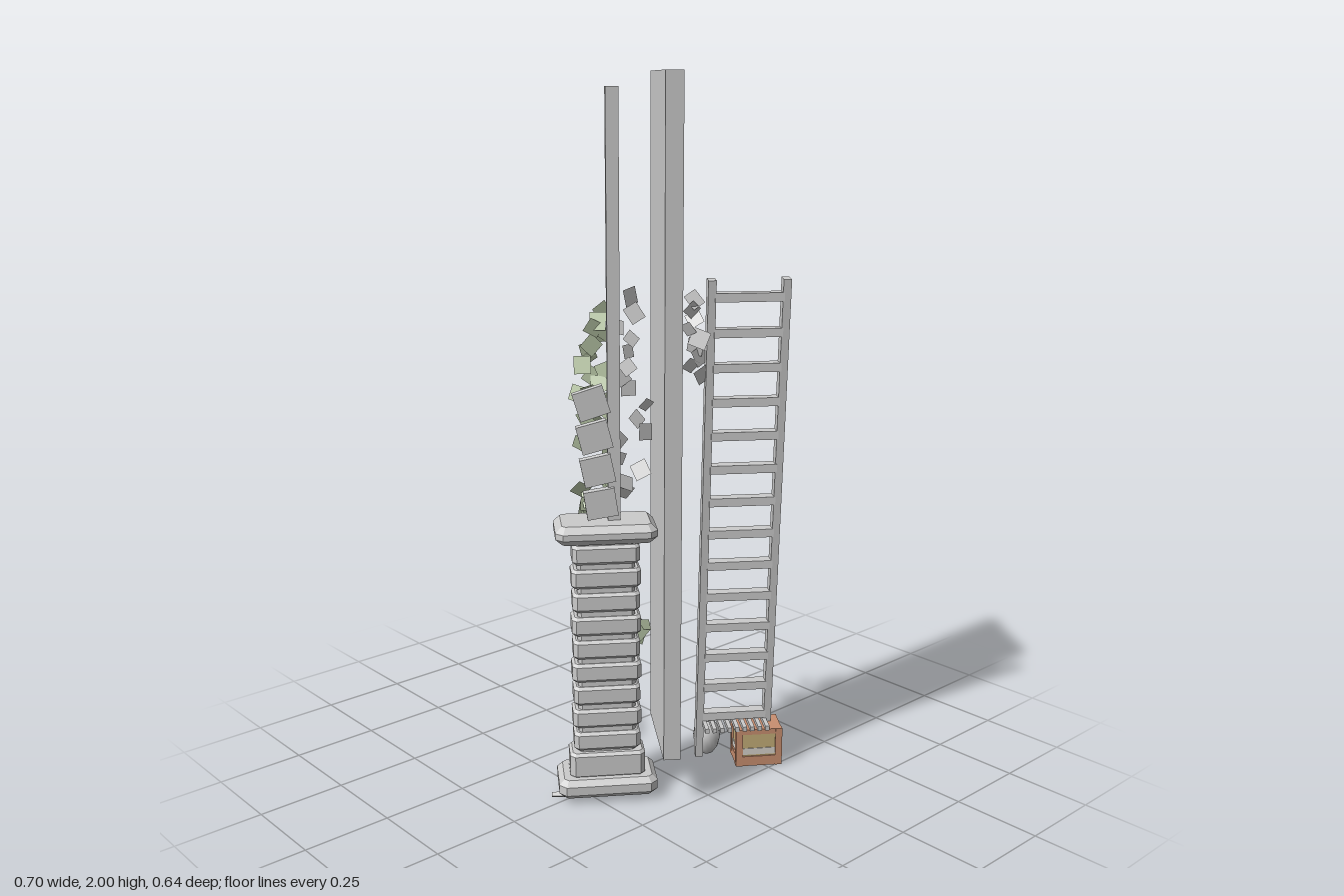
import * as THREE from 'three';

const mat = (name, color, double = false) => {
  const m = new THREE.MeshStandardMaterial({ color, side: double ? THREE.DoubleSide : THREE.FrontSide });
  m.name = name;
  return m;
};

export function createModel() {
  const model = new THREE.Group();
  model.name = 'pillarWallAndLadder';
  const stone = mat('stoneGrey', 0xcccccc);
  const paleLeaf = mat('paleLeaf', 0xd2d2d2, true);
  const greenLeaf = mat('greenLeaf', 0xc3d2b0, true);
  const orangeWood = mat('orangeWood', 0xc98f70);
  const tanWood = mat('tanWood', 0xc3ad78);
  const paleWood = mat('paleWood', 0xd6d2cc);

  // Everything is laid out on axes turned 35 degrees about the vertical
  const scene = new THREE.Group();
  scene.name = 'turnedLayout';
  scene.rotation.y = -THREE.MathUtils.degToRad(35);
  model.add(scene);

  const add = (name, geo, material, x = 0, y = 0, z = 0, parent = scene) => {
    const m = new THREE.Mesh(geo, material);
    m.name = name;
    m.position.set(x, y, z);
    parent.add(m);
    return m;
  };
  // Box given by its limits on each axis
  const box = (name, material, x0, x1, y0, y1, z0, z1, parent = scene) =>
    add(name, new THREE.BoxGeometry(x1 - x0, y1 - y0, z1 - z0), material,
      (x0 + x1) / 2, (y0 + y1) / 2, (z0 + z1) / 2, parent);
  // Bar between two points
  const bar = (name, material, a, b, w, d, parent = scene) => {
    const p = new THREE.Vector3(...a), q = new THREE.Vector3(...b);
    const m = add(name, new THREE.BoxGeometry(w, p.distanceTo(q), d), material, 0, 0, 0, parent);
    m.position.copy(p).add(q).multiplyScalar(0.5);
    m.quaternion.setFromUnitVectors(new THREE.Vector3(0, 1, 0), q.sub(p).normalize());
    return m;
  };
  let seed = 11;
  const rnd = (lo, hi) => {
    seed = (seed * 16807) % 2147483647;
    return lo + (hi - lo) * seed / 2147483647;
  };

  // Tall wall slab with a thin core showing at one end
  box('wallSlab', stone, 0.008, 0.055, 0.145, 2, -0.04, 0.26);
  box('wallCore', stone, 0.018, 0.04, 0.145, 2, -0.048, -0.04);

  // Pedestal: bevelled slabs with cut corners
  const pillar = new THREE.Group();
  pillar.name = 'pillar';
  pillar.position.set(-0.14, 0, 0.141);
  scene.add(pillar);
  const slab = (name, a, b, cut, y0, y1, bevel) => {
    const s = new THREE.Shape([[a, b - cut], [a - cut, b], [cut - a, b], [-a, b - cut],
      [-a, cut - b], [cut - a, -b], [a - cut, -b], [a, cut - b]].map(p => new THREE.Vector2(...p)));
    const g = new THREE.ExtrudeGeometry(s, {
      depth: y1 - y0 - 2 * bevel, bevelEnabled: true, bevelThickness: bevel,
      bevelSize: bevel, bevelOffset: -bevel, bevelSegments: 1
    });
    g.rotateX(-Math.PI / 2);
    add(name, g, stone, 0, y0 + bevel, 0, pillar);
  };
  slab('footSlab', 0.139, 0.079, 0.02, 0.015, 0.07, 0.015);
  slab('footCourse', 0.106, 0.05, 0.014, 0.065, 0.14, 0.008);
  slab('pillarCore', 0.08, 0.032, 0.01, 0.13, 0.78, 0.003);
  for (let i = 0; i < 9; i++) {
    const y = 0.14 + i * 0.0688;
    slab('pillarBlock', 0.093 + (i % 2) * 0.003, 0.042, 0.012, y + 0.006, y + 0.06, 0.008);
  }
  slab('capSlab', 0.139, 0.079, 0.02, 0.762, 0.815, 0.018);

  // Tall pole and a leaning stack of tilted blocks above the cap
  box('pole', stone, -0.132, -0.098, 0.8, 1.96, 0.134, 0.155);
  for (let i = 0; i < 4; i++) {
    const b = add('tiltedBlock', new THREE.BoxGeometry(0.085, 0.078, 0.026), stone,
      -0.152 - i * 0.008, 0.865 + i * 0.093, 0.155);
    b.rotation.z = 0.15 + i * 0.05;
  }

  // Ladder leaning along the wall
  const ladder = new THREE.Group();
  ladder.name = 'ladder';
  scene.add(ladder);
  const lean = y => -0.033 + 0.104 * y;
  for (const x of [0.152, 0.355])
    bar('ladderRail', stone, [x, 0.008, lean(0)], [x, 1.463, lean(1.463)], 0.022, 0.032, ladder);
  for (let i = 0; i < 14; i++) {
    const y = 0.143 + i * 0.0978;
    box('ladderRung', stone, 0.16, 0.348, y - 0.012, y + 0.012, lean(y) - 0.018, lean(y) + 0.018, ladder);
  }

  // Small slatted deck at the ladder foot
  for (let i = 0; i < 9; i++) {
    const x = 0.165 + i * 0.0225;
    box('deckSlat', stone, x - 0.006, x + 0.006, 0.114, 0.128, -0.045, 0.05);
  }

  // Crate with wooden bands and corner posts
  const crate = new THREE.Group();
  crate.name = 'crate';
  scene.add(crate);
  box('crateBody', tanWood, 0.258, 0.386, 0.004, 0.11, -0.046, 0.041, crate);
  box('crateBottomBand', orangeWood, 0.254, 0.39, 0, 0.03, -0.05, 0.045, crate);
  box('crateMiddleBand', paleWood, 0.256, 0.388, 0.035, 0.055, -0.048, 0.043, crate);
  box('crateTopBand', orangeWood, 0.254, 0.39, 0.1, 0.116, -0.05, 0.045, crate);
  for (const x of [0.254, 0.372]) for (const z of [-0.05, 0.027])
    box('cratePost', orangeWood, x - 0.001, x + 0.019, 0, 0.116, z - 0.001, z + 0.019, crate);

  // Round jar
  const jar = [[0, 0.004], [0.02, 0.004], [0.034, 0.025], [0.041, 0.055], [0.037, 0.082],
    [0.024, 0.1], [0.019, 0.108], [0.014, 0.108], [0.012, 0.095], [0, 0.09]];
  add('jar', new THREE.LatheGeometry(jar.map(p => new THREE.Vector2(...p)), 20), stone, 0.181, 0, -0.06);

  // Ivy: scattered small square leaves, [count, material, x, y, z ranges]
  const leafGeo = new THREE.PlaneGeometry(0.046, 0.046);
  const scatter = (name, count, material, xr, yr, zr) => {
    const g = new THREE.Group();
    g.name = name;
    scene.add(g);
    for (let i = 0; i < count; i++) {
      const t = (i + 0.5) / count;
      const leaf = add('leaf', leafGeo, material, rnd(...xr),
        yr[0] + (yr[1] - yr[0]) * t, rnd(...zr), g);
      leaf.rotation.set(rnd(-0.6, 0.6), rnd(-0.7, 0.7), rnd(-0.8, 0.8));
      leaf.scale.setScalar(rnd(0.75, 1.1));
    }
  };
  scatter('pillarIvy', 34, greenLeaf, [-0.2, -0.12], [0.78, 1.38], [0.03, 0.1]);
  scatter('wallIvy', 16, paleLeaf, [-0.11, -0.02], [0.85, 1.43], [0.05, 0.12]);
  scatter('lowIvy', 12, greenLeaf, [-0.12, -0.015], [0.37, 0.47], [0.01, 0.07]);
  scatter('ladderIvy', 9, paleLeaf, [0.075, 0.135], [1.19, 1.42], [0.095, 0.125]);

  // Fallen twigs on the ground, the far one carrying leaves
  const twig = (a, b) => bar('twig', stone, a, b, 0.008, 0.012, model);
  twig([0.077, 0.014, -0.151], [0.222, 0.014, -0.317]);
  twig([-0.345, 0.014, -0.03], [-0.21, 0.014, 0.085]);
  const small = new THREE.PlaneGeometry(0.018, 0.028);
  for (let i = 0; i < 6; i++) {
    const t = 0.1 + i * 0.12;
    const leaf = add('twigLeaf', small, greenLeaf, 0.077 + 0.145 * t, 0.027, -0.151 - 0.166 * t, model);
    leaf.rotation.set(rnd(-0.3, 0.3), 0.85 + rnd(-0.4, 0.4), rnd(-0.5, 0.5));
  }
  return model;
}
